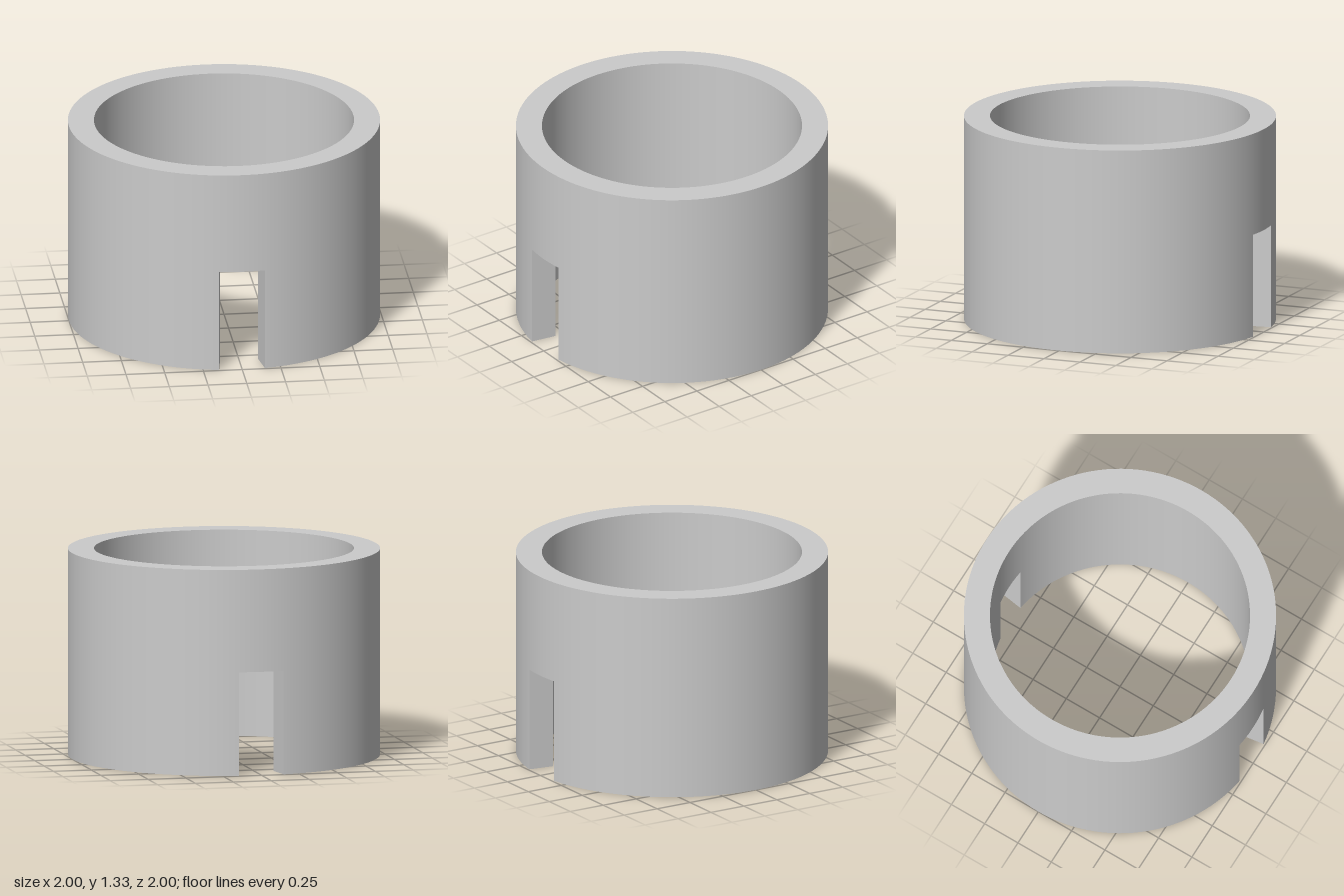
import * as THREE from 'three';
import { mergeGeometries } from 'three/addons/utils/BufferGeometryUtils.js';

const OUTER = 1, INNER = 0.833, HEIGHT = 1.333;
const SLOT_HEIGHT = 0.67, SLOT_HALF = 0.148; // half angle of each slot, radians

// Ring sector with a rectangular section; each face is its own strip so edges stay sharp
function sector(y0, y1, start, length, segments) {
  const corners = [[OUTER, y0], [OUTER, y1], [INNER, y1], [INNER, y0]]
    .map(([x, y]) => new THREE.Vector2(x, y));
  return mergeGeometries(corners.map((p, i) =>
    new THREE.LatheGeometry([p, corners[(i + 1) % 4]], segments, start, length)));
}

// Radial side face of a slot; side is +1 or -1
function jamb(centre, side) {
  return new THREE.PlaneGeometry(OUTER - INNER, SLOT_HEIGHT)
    .translate(side * (OUTER + INNER) / 2, SLOT_HEIGHT / 2, 0)
    .rotateY(centre + side * (SLOT_HALF - Math.PI / 2));
}

export function createModel() {
  const group = new THREE.Group();
  group.name = 'slottedRing';
  const material = new THREE.MeshStandardMaterial({ color: 0xcccccc });
  const parts = [];

  // Front and back slots, each with a bridge above and a full-height wall beside it
  for (const centre of [0, Math.PI]) {
    parts.push(sector(SLOT_HEIGHT, HEIGHT, centre - SLOT_HALF, 2 * SLOT_HALF, 6));
    parts.push(sector(0, HEIGHT, centre + SLOT_HALF, Math.PI - 2 * SLOT_HALF, 58));
    parts.push(jamb(centre, 1), jamb(centre, -1));
  }

  const ring = new THREE.Mesh(mergeGeometries(parts), material);
  ring.name = 'ringWall';
  group.add(ring);
  return group;
}
